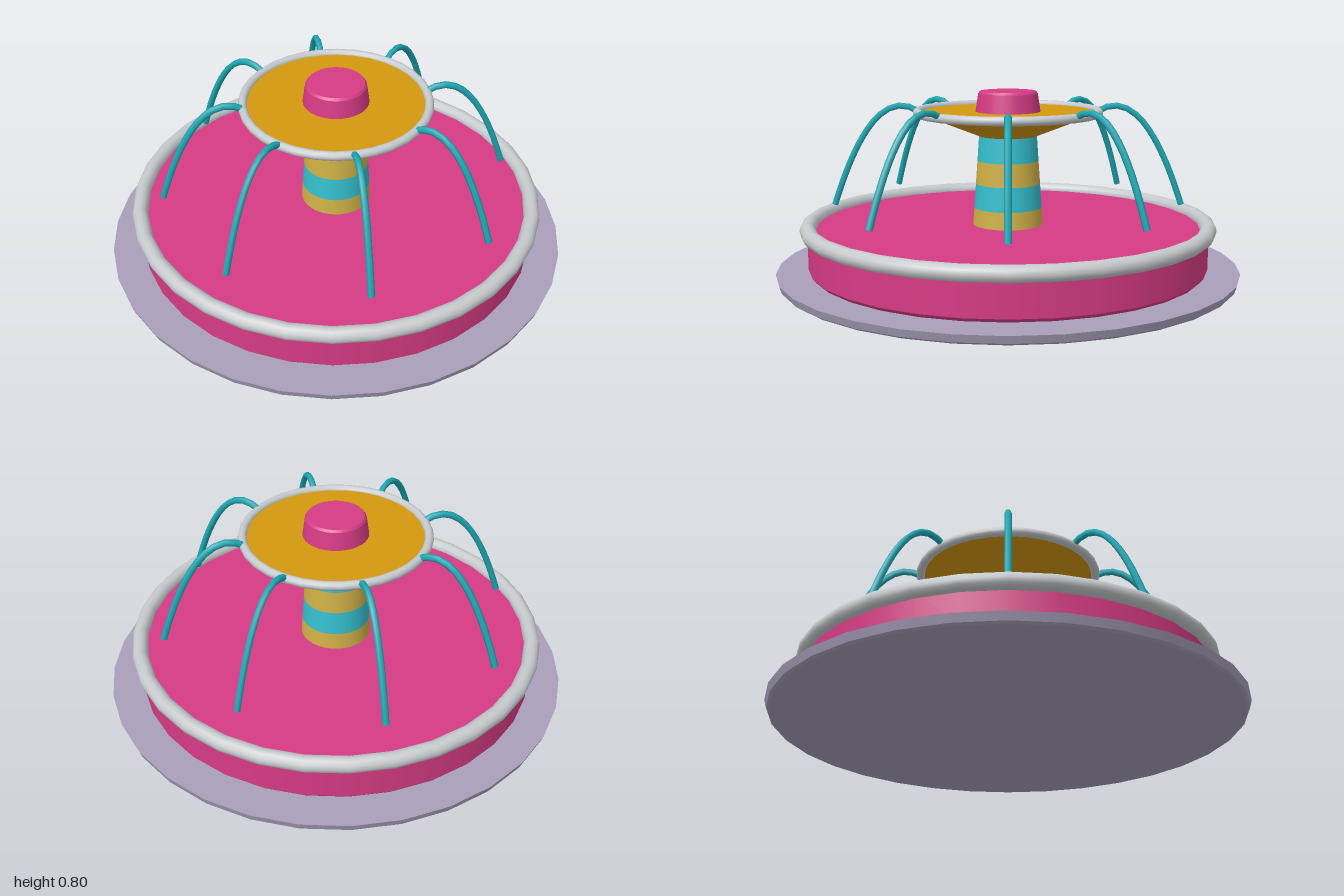
import * as THREE from 'three';

const mat = (name, color, side = THREE.FrontSide) => {
  const m = new THREE.MeshStandardMaterial({ color, side });
  m.name = name;
  return m;
};

export function createModel() {
  const group = new THREE.Group();
  const stone = mat('lavender stone', 0xa99fba);
  const pink = mat('pink', 0xd63b84);
  const silver = mat('silver', 0xc6cacd);
  const gold = mat('gold', 0xd4980f);
  const straw = mat('straw yellow', 0xcfb046);
  const cyan = mat('cyan', 0x34bfce);
  const teal = mat('teal', 0x1fa9b4, THREE.DoubleSide);

  const add = (name, geometry, material, y = 0) => {
    const mesh = new THREE.Mesh(geometry, material);
    mesh.name = name;
    mesh.position.y = y;
    group.add(mesh);
    return mesh;
  };

  // Turned solid; each profile corner is doubled so its edge stays crisp
  const turned = (profile, segments = 32) => {
    const pts = [];
    profile.forEach(([r, y], i) => {
      pts.push(new THREE.Vector2(r, y));
      if (i > 0 && i < profile.length - 1) pts.push(new THREE.Vector2(r, y));
    });
    return new THREE.LatheGeometry(pts, segments);
  };

  const ring = (radius, tube) =>
    new THREE.TorusGeometry(radius, tube, 12, 32).rotateX(Math.PI / 2);

  // Ground slab and basin
  add('baseSlab', turned([[0, 0], [0.98, 0], [0.99, 0.008], [1, 0.04], [0, 0.04]]), stone);
  add('basin', turned([[0, 0.04], [0.85, 0.04], [0.863, 0.055], [0.863, 0.22], [0, 0.22]]), pink);
  add('basinRim', ring(0.862, 0.034), silver, 0.222);

  // Tapered column in alternating bands
  const levels = [0.22, 0.295, 0.4, 0.5, 0.61];
  const radiusAt = (y) => 0.152 - (y - 0.22) * 0.07;
  for (let i = 0; i < levels.length - 1; i++) {
    const [a, b] = [levels[i], levels[i + 1]];
    add('columnBand' + (i + 1),
      new THREE.CylinderGeometry(radiusAt(b), radiusAt(a), b - a, 32),
      i % 2 ? cyan : straw, (a + b) / 2);
  }

  // Upper dish, its rim and the cap
  add('upperDish', turned([[0, 0.6], [0.115, 0.603], [0.38, 0.708], [0.38, 0.712], [0, 0.712]]), gold);
  add('upperRim', ring(0.39, 0.019), silver, 0.71);
  add('topCap', turned([[0, 0.71], [0.14, 0.71], [0.128, 0.79], [0.12, 0.8], [0, 0.8]]), pink);

  // Eight arching water jets
  const arc = new THREE.QuadraticBezierCurve3(
    new THREE.Vector3(0.385, 0.712, 0),
    new THREE.Vector3(0.58, 0.84, 0),
    new THREE.Vector3(0.755, 0.305, 0));
  const jetGeometry = new THREE.TubeGeometry(arc, 14, 0.0145, 6, false);
  for (let i = 0; i < 8; i++) {
    add('waterJet' + (i + 1), jetGeometry, teal).rotation.y = (i * Math.PI) / 4;
  }
  return group;
}
